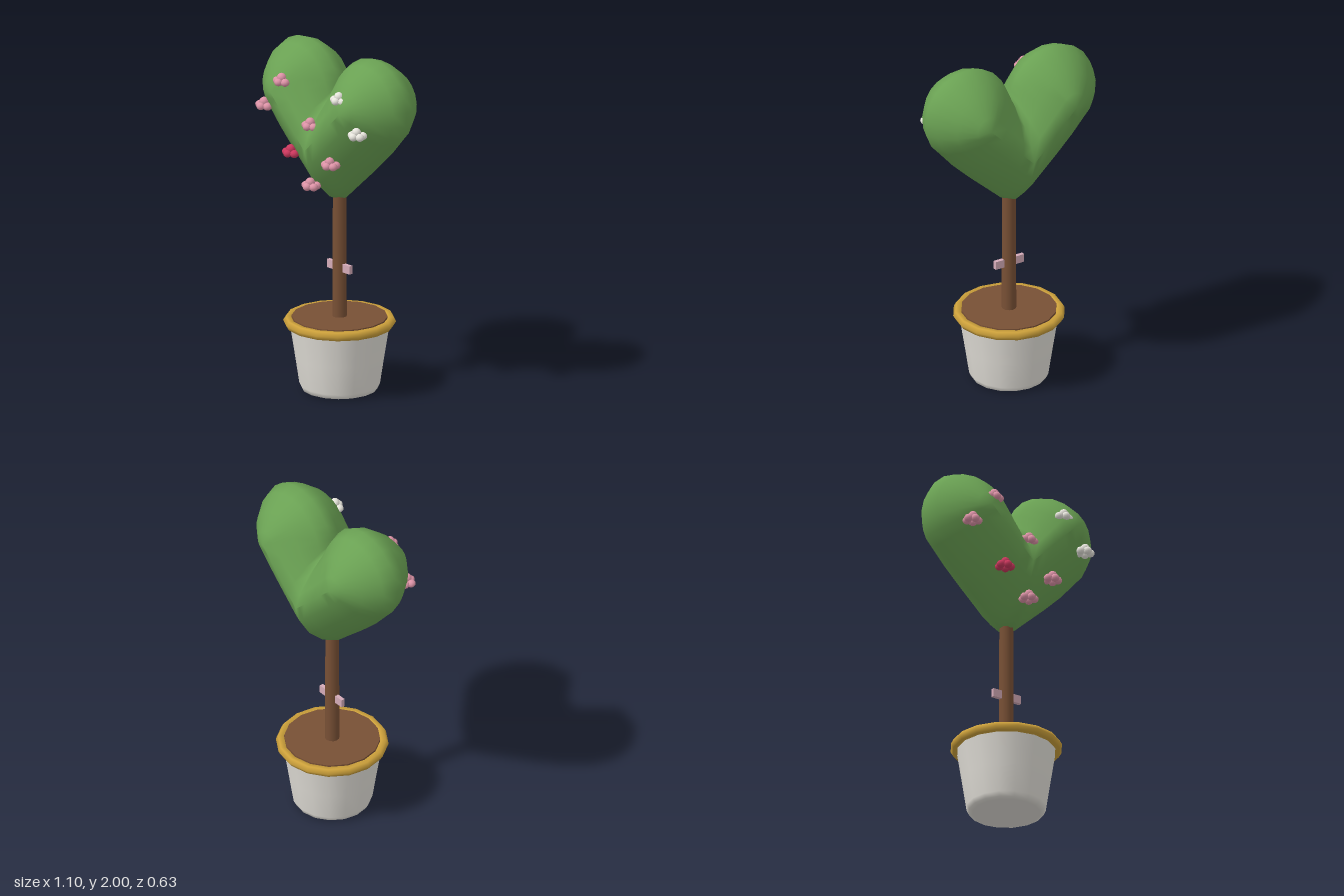
import * as THREE from 'three';
import { mergeVertices } from 'three/addons/utils/BufferGeometryUtils.js';

const material = (name, color) => {
  const m = new THREE.MeshStandardMaterial({ color });
  m.name = name;
  return m;
};

function addMesh(parent, name, geometry, mat, x = 0, y = 0, z = 0) {
  const mesh = new THREE.Mesh(geometry, mat);
  mesh.name = name;
  mesh.position.set(x, y, z);
  parent.add(mesh);
  return mesh;
}

// Heart: each outline point is swept over a flattened arc to a V-shaped spine, front and back.
function heartGeometry() {
  const R = 0.272, DEPTH = 0.268, POWER = 1.33;
  const lobe = new THREE.Vector2(0.28, 1.728);
  const base = new THREE.Vector2(0, 1.45);
  const half = [];
  const add = (x, y, f) => half.push({ p: new THREE.Vector2(x, y), s: lobe.clone().lerp(base, f) });
  // notch, round lobe, then the flank down to the tip
  add(0, 1.745, 1);
  add(0.006, 1.765, 0.75);
  add(0.014, 1.79, 0.5);
  add(0.025, 1.825, 0.25);
  for (let deg = 148; deg >= -32; deg -= 18) {
    const a = THREE.MathUtils.degToRad(deg);
    add(lobe.x + R * Math.cos(a), lobe.y + R * Math.sin(a), 0);
  }
  add(0.462, 1.53, 0.12);
  add(0.37, 1.425, 0.25);
  add(0.255, 1.315, 0.5);
  add(0.115, 1.19, 0.75);
  add(0.055, 1.135, 0.9);
  add(0, 1.11, 1);

  const flip = ({ p, s }) => ({
    p: new THREE.Vector2(-p.x, p.y),
    s: new THREE.Vector2(-s.x, s.y),
  });
  const loop = [...half, ...half.slice(1, -1).reverse().map(flip)];
  const rows = 8, positions = [], index = [];
  for (const { p, s } of loop) {
    for (let j = 0; j <= rows; j++) {
      const a = (j / rows - 0.5) * Math.PI;
      const q = s.clone().lerp(p, Math.max(0, Math.cos(a)) ** POWER);
      positions.push(q.x, q.y, DEPTH * Math.sign(a) * Math.abs(Math.sin(a)) ** POWER);
    }
  }
  for (let i = 0; i < loop.length; i++) {
    const a = i * (rows + 1), b = ((i + 1) % loop.length) * (rows + 1);
    for (let j = 0; j < rows; j++) {
      index.push(a + j, a + j + 1, b + j, b + j, a + j + 1, b + j + 1);
    }
  }
  let geometry = new THREE.BufferGeometry();
  geometry.setAttribute('position', new THREE.Float32BufferAttribute(positions, 3));
  geometry.setIndex(index);
  geometry = mergeVertices(geometry, 1e-4);
  geometry.computeVertexNormals();
  return geometry;
}

const lathe = (points, segments) =>
  new THREE.LatheGeometry(points.map(([r, y]) => new THREE.Vector2(r, y)), segments);

export function createModel() {
  const green = material('leaf green', 0x6aa153);
  const brown = material('bark brown', 0x785035);
  const white = material('pot white', 0xe3e0d9);
  const gold = material('rim gold', 0xcda13b);
  const ribbonPink = material('ribbon pink', 0xd4abb8);
  const pink = material('blossom pink', 0xdd93a7);
  const cream = material('blossom white', 0xe8e6de);
  const crimson = material('blossom crimson', 0xcc385e);

  const tree = new THREE.Group();
  tree.name = 'heartTopiary';

  // Pot, rim and soil
  addMesh(tree, 'pot', lathe([
    [0, 0], [0.19, 0], [0.212, 0.008], [0.225, 0.035], [0.25, 0.2], [0.28, 0.39],
  ], 16), white);
  const rim = new THREE.TorusGeometry(0.287, 0.028, 6, 16);
  rim.rotateX(Math.PI / 2);
  addMesh(tree, 'potRim', rim, gold, 0, 0.4, 0);
  addMesh(tree, 'soil', new THREE.CylinderGeometry(0.268, 0.268, 0.04, 16), brown, 0, 0.409, 0);

  // Trunk and ribbon
  addMesh(tree, 'trunk', new THREE.CylinderGeometry(0.039, 0.041, 0.735, 12), brown, 0, 0.778, 0);
  for (const side of [-1, 1]) {
    addMesh(tree, side > 0 ? 'leftRibbon' : 'rightRibbon',
      new THREE.BoxGeometry(0.065, 0.048, 0.022), ribbonPink, side * 0.061, 0.717, 0);
  }

  // Heart-shaped foliage
  addMesh(tree, 'heartFoliage', heartGeometry(), green);

  // Blossoms: five petals round a raised centre
  const petal = new THREE.SphereGeometry(0.025, 10, 8);
  const centre = new THREE.SphereGeometry(0.027, 10, 8);
  const blossoms = [
    [-0.235, 1.805, pink], [0.235, 1.805, cream], [-0.38, 1.63, pink], [0.38, 1.63, cream],
    [0, 1.6, pink], [-0.16, 1.405, crimson], [0.16, 1.405, pink], [0, 1.248, pink],
  ];
  for (const [x, y, mat] of blossoms) {
    const blossom = new THREE.Group();
    blossom.name = 'blossom';
    blossom.position.set(x, y, 0.217);
    addMesh(blossom, 'blossomCentre', centre, mat, 0, 0.012, 0.006);
    for (let i = 0; i < 5; i++) {
      const a = Math.PI / 2 + i * Math.PI * 2 / 5;
      const mesh = addMesh(blossom, 'petal', petal, mat, 0.034 * Math.cos(a), -0.01, 0.03 * Math.sin(a));
      mesh.scale.y = 0.9;
    }
    tree.add(blossom);
  }
  return tree;
}
